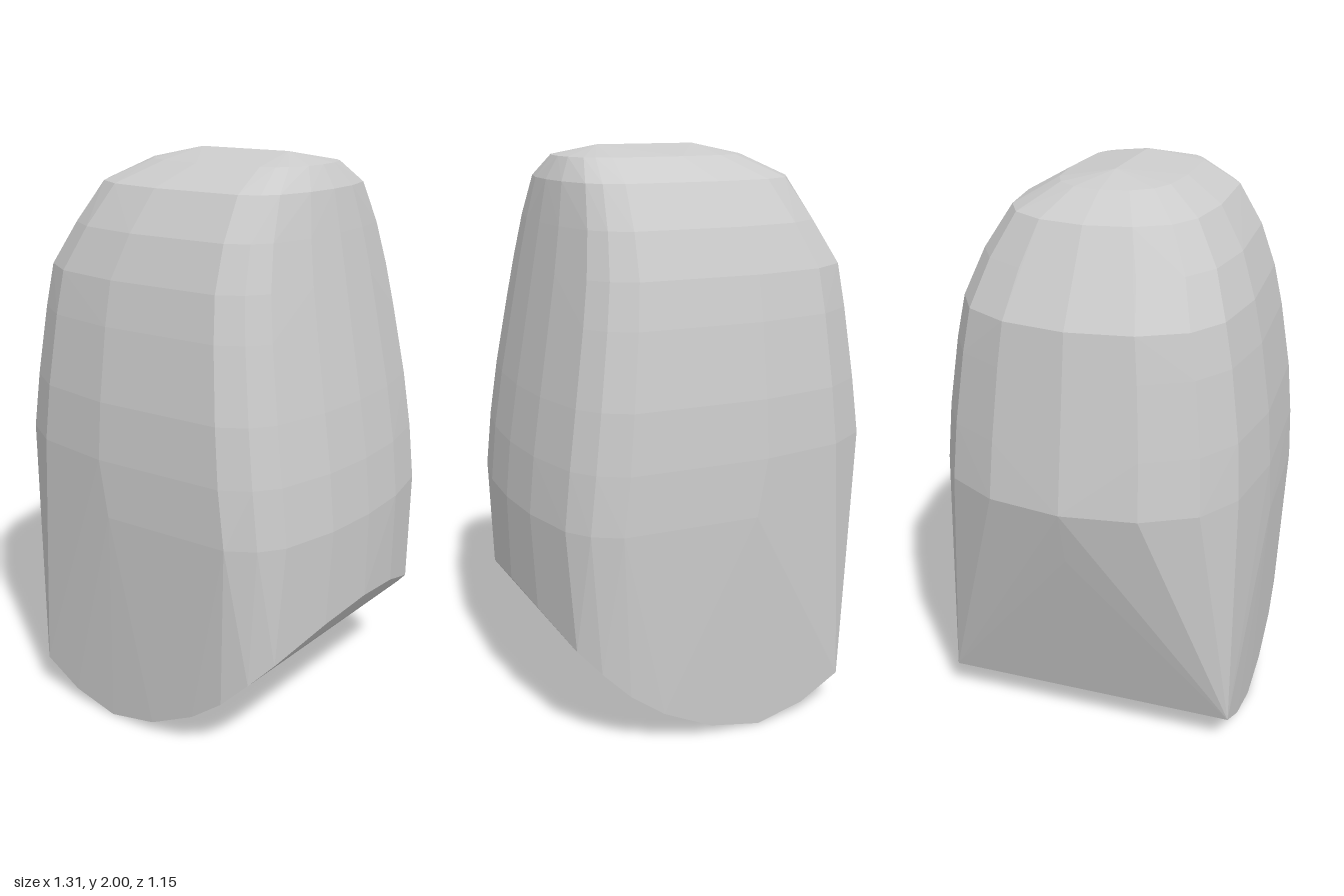
import * as THREE from 'three';
import { ConvexGeometry } from 'three/addons/geometries/ConvexGeometry.js';

// Half outline shared by every level: position along x (1 to -1), share of the half depth
const outline = [
  [1, 0], [0.98, 0.36], [0.905, 0.72], [0.815, 0.86], [0.67, 0.96],
  [-0.09, 1], [-0.55, 0.925], [-0.785, 0.763], [-0.94, 0.45], [-1, 0],
];

// Levels: height, left x, right x, half depth
const levels = [
  [0.8, 0.655, -0.6, 0.575], [1, 0.635, -0.655, 0.572], [1.2, 0.603, -0.627, 0.557],
  [1.45, 0.557, -0.592, 0.52], [1.6, 0.53, -0.57, 0.488], [1.75, 0.502, -0.475, 0.432],
  [1.89, 0.475, -0.39, 0.345], [1.965, 0.43, -0.23, 0.21], [2, 0.29, -0.07, 0],
];

// Curved underside: x, height, half depth
const underside = [
  [-0.4, 0.12, 0.535], [-0.25, 0.04, 0.538], [-0.07, 0, 0.54], [0.12, 0.04, 0.54], [0.3, 0.13, 0.537],
  [0.42, 0.22, 0.53], [0.51, 0.31, 0.5], [0.575, 0.38, 0.44], [0.63, 0.46, 0.22], [0.65, 0.49, 0],
];

export function createModel() {
  const group = new THREE.Group();
  const points = [];
  const addMirrored = (x, y, z) => {
    points.push(new THREE.Vector3(x, y, z));
    if (z > 0) points.push(new THREE.Vector3(x, y, -z));
  };

  // Fit the outline to each level, then add the underside edge
  for (const [y, left, right, depth] of levels) {
    for (const [u, w] of outline) addMirrored((left + right) / 2 + (u * (left - right)) / 2, y, w * depth);
  }
  for (const [x, y, z] of underside) addMirrored(x, y, z);

  // One faceted, rounded block wrapped around the levels
  const block = new THREE.Mesh(
    new ConvexGeometry(points),
    new THREE.MeshStandardMaterial({ color: 0xcccccc, flatShading: true })
  );
  block.name = 'roundedBlock';
  group.add(block);
  return group;
}
